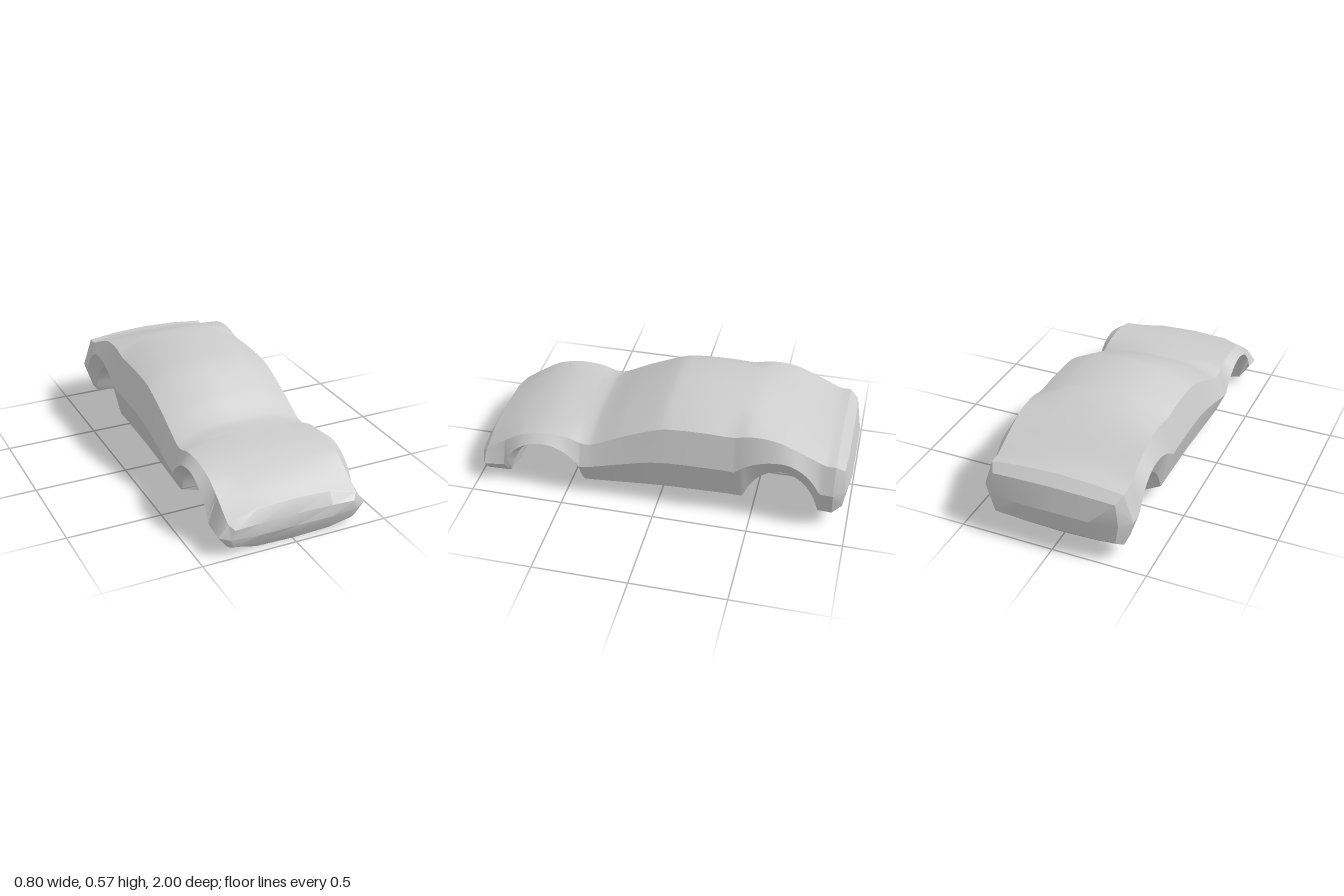
import * as THREE from 'three';
import { toCreasedNormals } from 'three/addons/utils/BufferGeometryUtils.js';

// Smooth height line through a few [z, y] points, listed from nose to tail
function heightLine(points) {
  const slope = points.map((_, i) => {
    const a = points[Math.max(i - 1, 0)], b = points[Math.min(i + 1, points.length - 1)];
    return (b[1] - a[1]) / (b[0] - a[0]);
  });
  return (z) => {
    let i = 0;
    while (i < points.length - 2 && z < points[i + 1][0]) i++;
    const [z0, y0] = points[i], [z1, y1] = points[i + 1];
    const h = z1 - z0, t = (z - z0) / h, s = 1 - t;
    return s * s * (1 + 2 * t) * y0 + t * t * (3 - 2 * t) * y1
      + h * t * s * (s * slope[i] - t * slope[i + 1]);
  };
}

// Wheel arch: half an ellipse, with its own width ahead of and behind the centre
function arch(centre, height, ahead, behind = ahead) {
  return (z) => {
    const d = z > centre ? (z - centre) / ahead : (centre - z) / behind;
    return d < 1 ? height * Math.sqrt(1 - d * d) : 0;
  };
}

const highest = (...lines) => (z) => Math.max(...lines.map((line) => line(z)));
const FRONT_AXLE = 0.62, REAR_AXLE = -0.645;

// Long lines of the body
const roof = heightLine([
  [0.96, 0.225], [0.84, 0.285], [0.74, 0.322], [0.62, 0.35], [0.41, 0.36], [0.36, 0.37],
  [0.2, 0.456], [0, 0.548], [-0.1, 0.565], [-0.25, 0.571], [-0.42, 0.564], [-0.5, 0.552],
  [-0.64, 0.503], [-0.78, 0.442], [-0.865, 0.417], [-0.92, 0.41],
]);
const shoulder = heightLine([
  [0.96, 0.17], [0.815, 0.27], [0.74, 0.31], [0.62, 0.335], [0.49, 0.327], [0.415, 0.302],
  [0.36, 0.305], [0.2, 0.383], [0, 0.465], [-0.1, 0.479], [-0.25, 0.484], [-0.39, 0.482],
  [-0.47, 0.499], [-0.56, 0.5], [-0.64, 0.484], [-0.78, 0.425], [-0.865, 0.386], [-0.92, 0.384],
]);
const waist = highest(
  heightLine([[0.96, 0.107], [0.84, 0.125], [0.4, 0.185], [0.2, 0.24], [0, 0.288],
    [-0.25, 0.3], [-0.42, 0.297], [-0.86, 0.236], [-0.92, 0.234]]),
  arch(FRONT_AXLE, 0.3, 0.25), arch(REAR_AXLE, 0.395, 0.36, 0.256),
);
const sill = highest(
  heightLine([[0.96, 0.045], [0.4, 0.066], [0, 0.097], [-0.25, 0.106], [-0.42, 0.109], [-0.92, 0.085]]),
  arch(FRONT_AXLE, 0.284, 0.207), arch(REAR_AXLE, 0.302, 0.207),
);
const floor = highest(
  heightLine([[0.96, 0.003], [0.83, 0.003], [0.41, 0.015], [-0.4, 0.018], [-0.86, 0.06], [-0.92, 0.06]]),
  arch(FRONT_AXLE, 0.257, 0.205), arch(REAR_AXLE, 0.271, 0.195),
);

// Mirrors half a ring (roof centre to floor centre on +x) into a closed ring of 12
function mirrorRing(half) {
  const other = half.slice(1, -1).reverse().map(([x, y, z]) => [-x, y, z]);
  return [...half, ...other];
}

function bodyRing(z) {
  return mirrorRing([
    [0, roof(z), z], [0.2, roof(z) - 0.009, z], [0.35, shoulder(z), z], [0.4, waist(z), z],
    [0.35, sill(z), z], [0.2, floor(z) + 0.006, z], [0, floor(z), z],
  ]);
}

// Bumper ring: inset from the body, with slightly curved upper edge
function bumperRing(zTop, zMid, zLow, top, mid, low) {
  return mirrorRing([
    [0, top, zTop], [0.2, top - 0.004, zTop], [0.325, top - 0.014, zTop * 0.993],
    [0.345, mid, zMid], [0.325, low + 0.01, zLow], [0.2, low + 0.003, zLow], [0, low, zLow],
  ]);
}

function buildBody() {
  const pos = [];
  const quad = (a, b, c, d) => pos.push(...a, ...b, ...c, ...a, ...c, ...d);

  const nose = bumperRing(0.995, 0.985, 0.978, 0.16, 0.095, 0.038);
  const tail = bumperRing(-0.972, -0.978, -0.968, 0.362, 0.234, 0.11);
  const rings = [nose];
  const steps = 150;
  for (let i = 0; i <= steps; i++) rings.push(bodyRing(0.96 - (1.88 * i) / steps));
  rings.push(tail);

  // Skin between neighbouring rings
  for (let i = 0; i < rings.length - 1; i++) {
    const a = rings[i], b = rings[i + 1];
    for (let j = 0; j < 12; j++) {
      const k = (j + 1) % 12;
      quad(a[j], a[k], b[k], b[j]);
    }
  }

  // Bumper faces: upper and lower strips meeting at a horizontal ridge
  const cap = (ring, y, z) => {
    const face = (a, b, c, d) => (z < 0 ? quad(d, c, b, a) : quad(a, b, c, d));
    const top = [10, 11, 0, 1, 2].map((i) => ring[i]);
    const low = [8, 7, 6, 5, 4].map((i) => ring[i]);
    const ridge = [ring[9], [-0.2, y, z], [0, y, z], [0.2, y, z], ring[3]];
    for (let i = 0; i < 4; i++) {
      face(ridge[i], ridge[i + 1], top[i + 1], top[i]);
      face(low[i], low[i + 1], ridge[i + 1], ridge[i]);
    }
  };
  cap(nose, 0.095, 1);
  cap(tail, 0.234, -1);

  const geo = new THREE.BufferGeometry();
  geo.setAttribute('position', new THREE.Float32BufferAttribute(pos, 3));
  return toCreasedNormals(geo, 0.45);
}

export function createModel() {
  const group = new THREE.Group();
  group.name = 'carBody';
  const shell = new THREE.Mesh(buildBody(), new THREE.MeshStandardMaterial({ color: 0xcccccc }));
  shell.name = 'bodyShell';
  shell.position.y = -0.003; // rest on the ground
  group.add(shell);
  return group;
}
